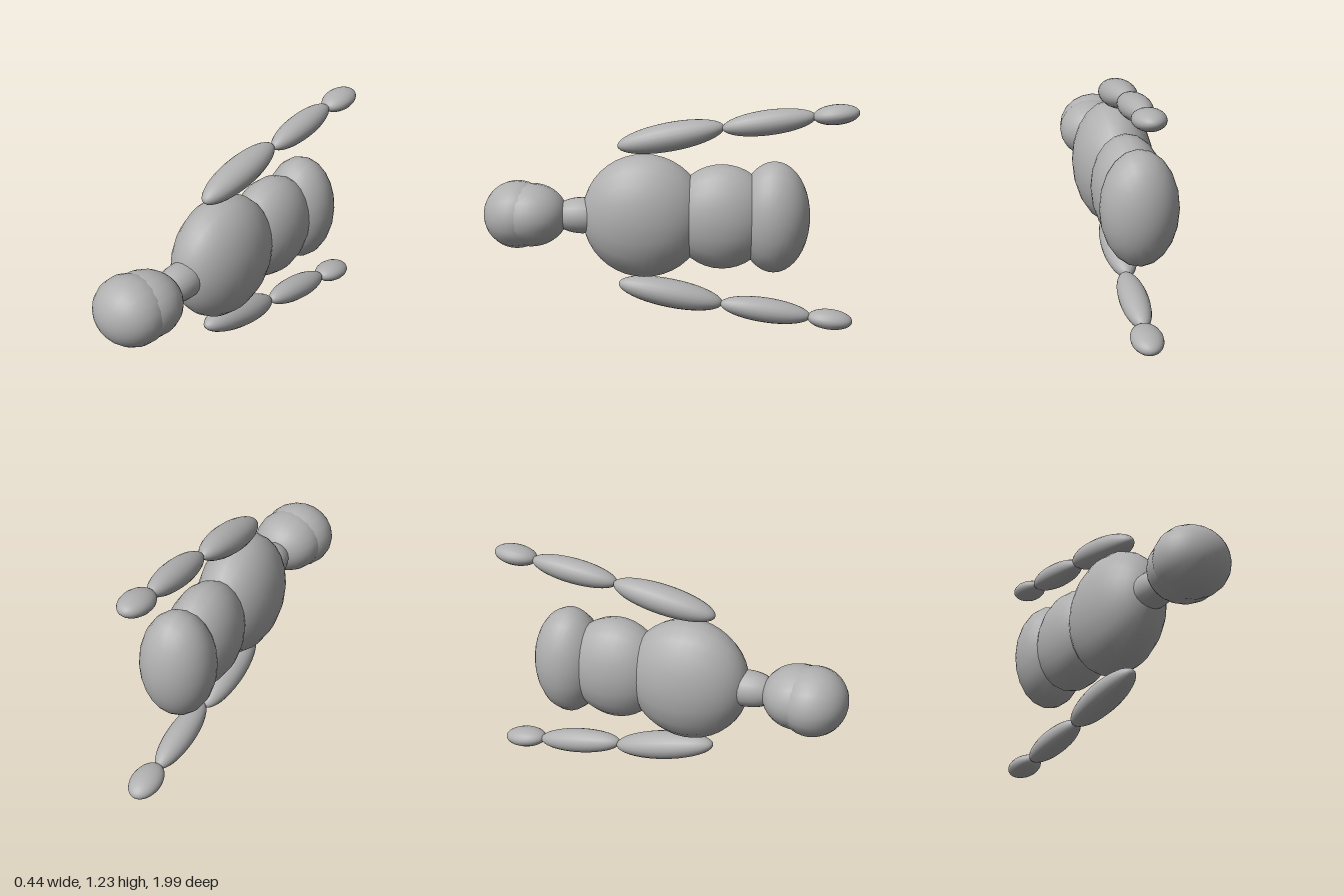
import * as THREE from 'three';

const MID = 0.62; // height of the body's long axis

export function createModel() {
  const model = new THREE.Group();
  model.name = 'mannequin';
  const grey = new THREE.MeshStandardMaterial({ color: 0xb0b0b0 });
  grey.name = 'grey';

  // unit sphere with its poles on the z axis, shared by every part
  const ball = new THREE.SphereGeometry(1, 20, 20).rotateX(Math.PI / 2);

  function ellipsoid(parent, name, position, radii, tilt = 0) {
    const mesh = new THREE.Mesh(ball, grey);
    mesh.name = name;
    mesh.position.set(...position);
    mesh.scale.set(...radii);
    mesh.rotation.x = THREE.MathUtils.degToRad(tilt);
    parent.add(mesh);
  }

  // head, made of two overlapping balls, and neck
  ellipsoid(model, 'face', [-0.02, MID - 0.002, 0.815], [0.2, 0.183, 0.18]);
  ellipsoid(model, 'skull', [0, MID, 0.735], [0.192, 0.17, 0.195]);
  ellipsoid(model, 'neck', [0, MID, 0.46], [0.1, 0.098, 0.16]);

  // torso
  ellipsoid(model, 'chest', [0, MID, 0.127], [0.217, 0.338, 0.333]);
  ellipsoid(model, 'belly', [0, MID, -0.288], [0.19, 0.286, 0.275]);
  ellipsoid(model, 'hips', [0, MID, -0.565], [0.2, 0.304, 0.193]);

  // arms, mirrored above and below the body's axis
  for (const side of [1, -1]) {
    const arm = new THREE.Group();
    arm.name = side > 0 ? 'upperSideArm' : 'lowerSideArm';
    ellipsoid(arm, 'upperArm', [0, MID + side * 0.432, -0.014], [0.09, 0.077, 0.288], side * 11);
    ellipsoid(arm, 'forearm', [0.018, MID + side * 0.515, -0.53], [0.076, 0.067, 0.247], side * 8);
    ellipsoid(arm, 'hand', [0.027, MID + side * 0.56, -0.878], [0.082, 0.053, 0.122], side * 6);
    model.add(arm);
  }
  return model;
}
